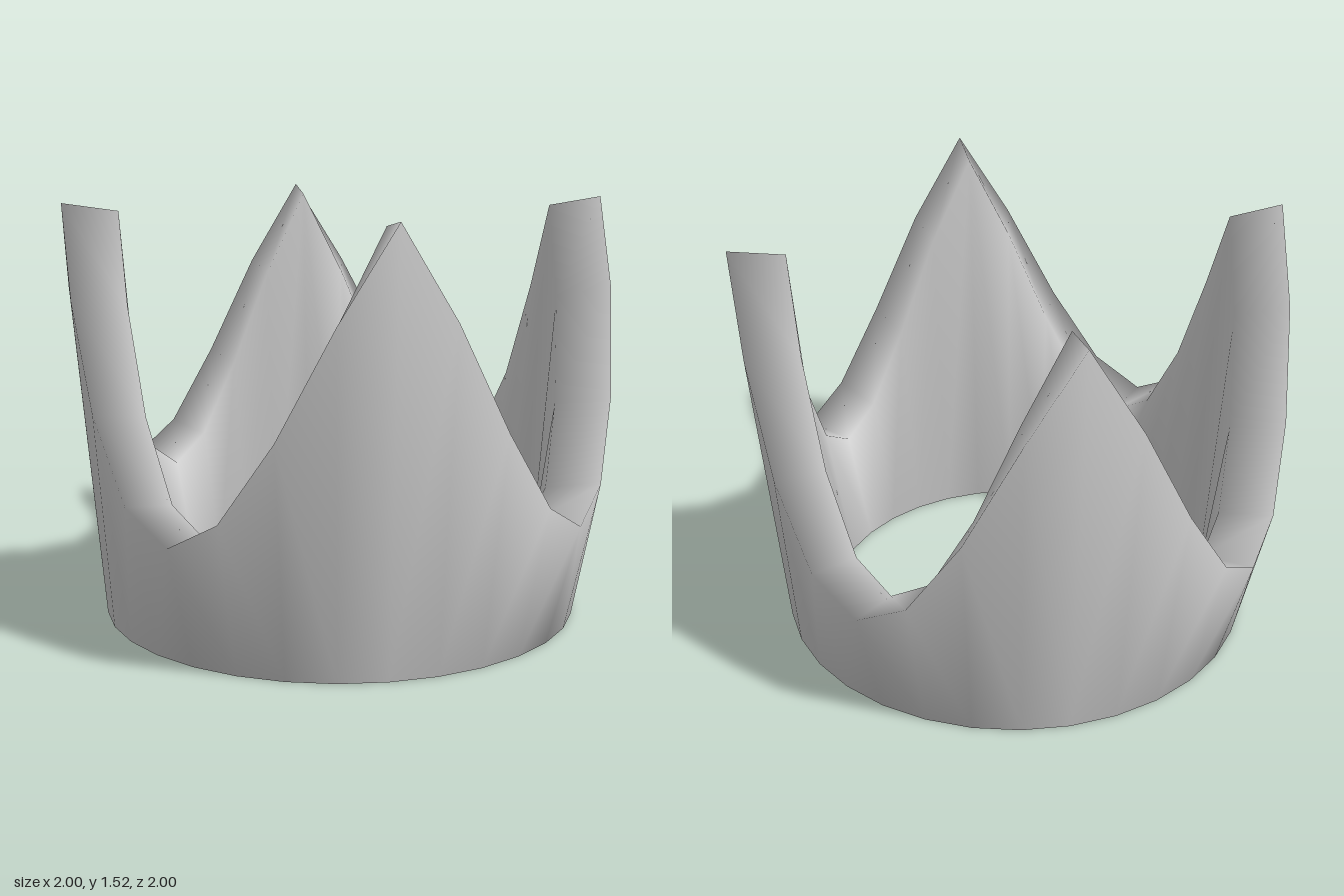
import * as THREE from 'three';

const SIDES = 32;
const PER_QUARTER = SIDES / 4;

// Rim heights from a spike tip (0) down to the valley (4)
const OUTER_RIM = [1.52, 1.2, 0.83, 0.55, 0.445];
const INNER_RIM = [1.49, 1.17, 0.8, 0.52, 0.425];

// Closed wall section at one column: outer foot, outer rim, inner rim, inner foot
function section(step) {
  return [
    [0.88, 0],
    [1.0, OUTER_RIM[step]],
    [0.8, INNER_RIM[step]],
    [0.71, 0],
  ];
}

function crownGeometry() {
  const positions = [];
  const index = [];
  for (let i = 0; i < SIDES; i++) {
    const a = (i / SIDES) * Math.PI * 2;
    const k = i % PER_QUARTER;
    const step = Math.min(k, PER_QUARTER - k);
    for (const [r, y] of section(step)) {
      positions.push(r * Math.sin(a), y, r * Math.cos(a));
    }
    // Join this column to the next; the last wall strip closes the foot
    const next = (i + 1) % SIDES;
    const falling = k < PER_QUARTER / 2;
    for (let j = 0; j < 4; j++) {
      const a0 = i * 4 + j, a1 = i * 4 + ((j + 1) % 4);
      const b0 = next * 4 + j, b1 = next * 4 + ((j + 1) % 4);
      // Diagonals mirror about each spike
      if (falling) index.push(a0, b0, b1, a0, b1, a1);
      else index.push(a0, b0, a1, b0, b1, a1);
    }
  }
  const geometry = new THREE.BufferGeometry();
  geometry.setAttribute('position', new THREE.Float32BufferAttribute(positions, 3));
  geometry.setIndex(index);
  geometry.computeVertexNormals();
  return geometry;
}

export function createModel() {
  const group = new THREE.Group();
  group.name = 'crown';

  // Four-pointed band with smooth shading
  const band = new THREE.Mesh(
    crownGeometry(),
    new THREE.MeshStandardMaterial({ color: 0xcccccc })
  );
  band.name = 'spikedBand';
  group.add(band);
  return group;
}
